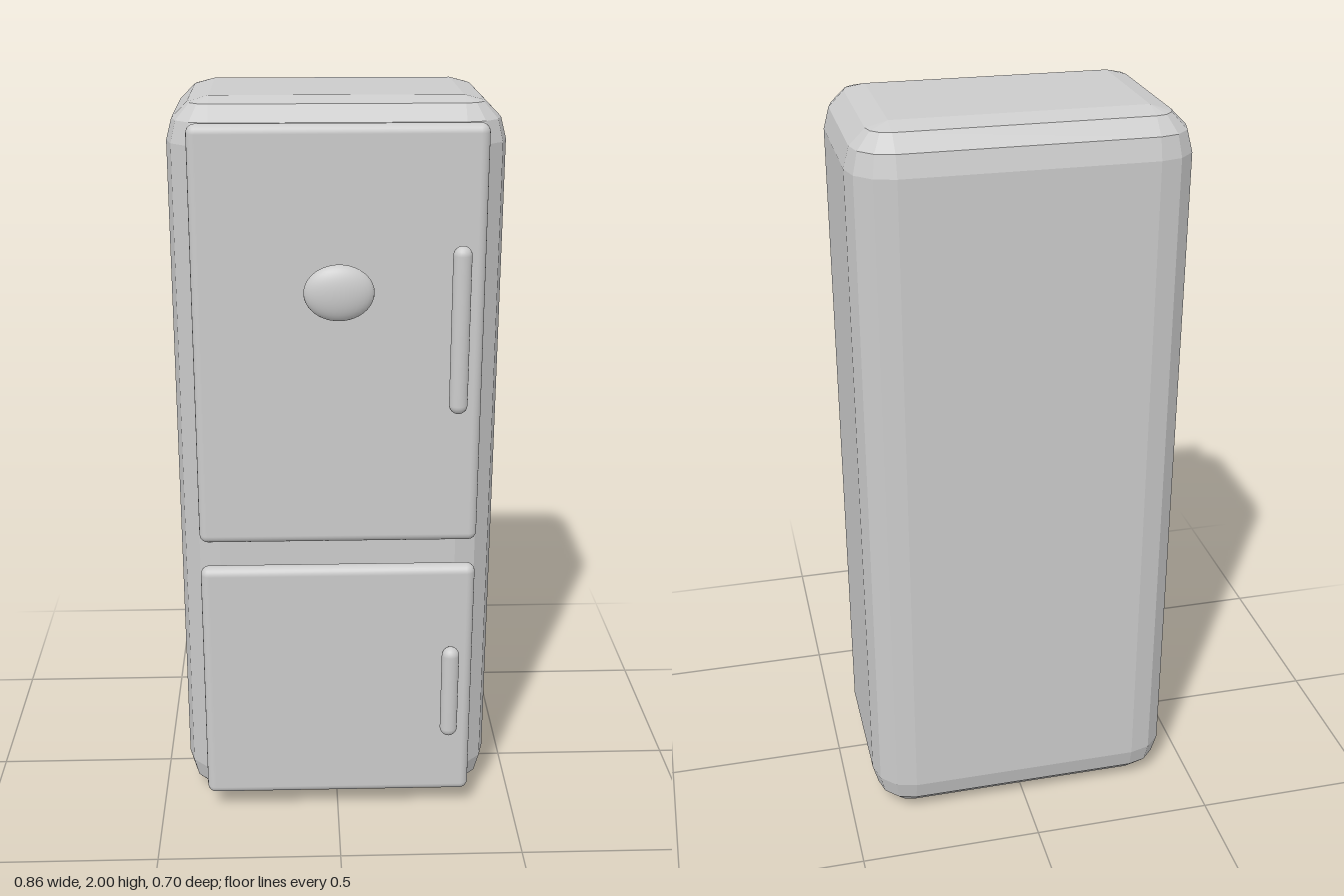
import * as THREE from 'three';
import { RoundedBoxGeometry } from 'three/addons/geometries/RoundedBoxGeometry.js';

// Box with faceted rounded edges, built as stacked rounded-rectangle rings
function facetedBox(w, h, d, r, steps) {
  const hx = w / 2 - r, hy = h / 2 - r, hz = d / 2 - r;
  const ring = (y, radius, sx = hx, sz = hz) => {
    const points = [];
    for (let q = 0; q < 4; q++) {
      const cx = q === 0 || q === 3 ? sx : -sx, cz = q < 2 ? sz : -sz;
      for (let i = 0; i <= steps; i++) {
        const a = (q + i / steps) * Math.PI / 2;
        points.push(new THREE.Vector3(cx + radius * Math.cos(a), y, cz + radius * Math.sin(a)));
      }
    }
    return points;
  };
  // Bottom centre, lower curve, upper curve, top centre
  const rings = [ring(-h / 2, 0, 0, 0)];
  for (const side of [-1, 1]) {
    for (let i = 0; i <= steps; i++) {
      const a = (side < 0 ? i - steps : i) / steps * Math.PI / 2;
      rings.push(ring(side * hy + r * Math.sin(a), r * Math.cos(a)));
    }
  }
  rings.push(ring(h / 2, 0, 0, 0));

  const positions = [];
  const addTriangle = (a, b, c) => {
    if (new THREE.Triangle(a, b, c).getArea() < 1e-8) return;
    for (const p of [a, b, c]) positions.push(p.x, p.y, p.z);
  };
  for (let k = 0; k < rings.length - 1; k++) {
    const low = rings[k], up = rings[k + 1], n = low.length;
    for (let i = 0; i < n; i++) {
      const j = (i + 1) % n;
      addTriangle(low[i], up[i], up[j]);
      addTriangle(low[i], up[j], low[j]);
    }
  }
  const geometry = new THREE.BufferGeometry();
  geometry.setAttribute('position', new THREE.Float32BufferAttribute(positions, 3));
  geometry.computeVertexNormals();
  return geometry;
}

export function createModel() {
  const model = new THREE.Group();
  model.name = 'refrigerator';
  const smooth = new THREE.MeshStandardMaterial({ color: 0xcccccc });
  const faceted = new THREE.MeshStandardMaterial({ color: 0xcccccc, flatShading: true });

  const add = (name, geometry, material, x, y, z) => {
    const mesh = new THREE.Mesh(geometry, material);
    mesh.name = name;
    mesh.position.set(x, y, z);
    model.add(mesh);
    return mesh;
  };

  // Cabinet
  add('cabinet', facetedBox(0.86, 2, 0.582, 0.11, 3), faceted, 0, 1, -0.059);

  // Doors with their handles: [name, door bottom, door top, handle bottom, handle top]
  const doors = [
    ['upper', 0.842, 1.95, 1.215, 1.655],
    ['lower', 0.06, 0.768, 0.26, 0.535],
  ];
  const handleRadius = 0.024;
  for (const [name, y0, y1, h0, h1] of doors) {
    add(name + 'Door', new RoundedBoxGeometry(0.744, y1 - y0, 0.048, 3, 0.023), smooth,
      0, (y0 + y1) / 2, 0.26);
    const handle = new THREE.CapsuleGeometry(handleRadius, h1 - h0 - 2 * handleRadius, 6, 20);
    add(name + 'Handle', handle, smooth, 0.308, (h0 + h1) / 2, 0.306).scale.z = 0.93;
  }

  // Oval badge on the upper door
  add('badge', new THREE.SphereGeometry(1, 32, 20), smooth, 0, 1.54, 0.315)
    .scale.set(0.089, 0.072, 0.032);

  return model;
}
